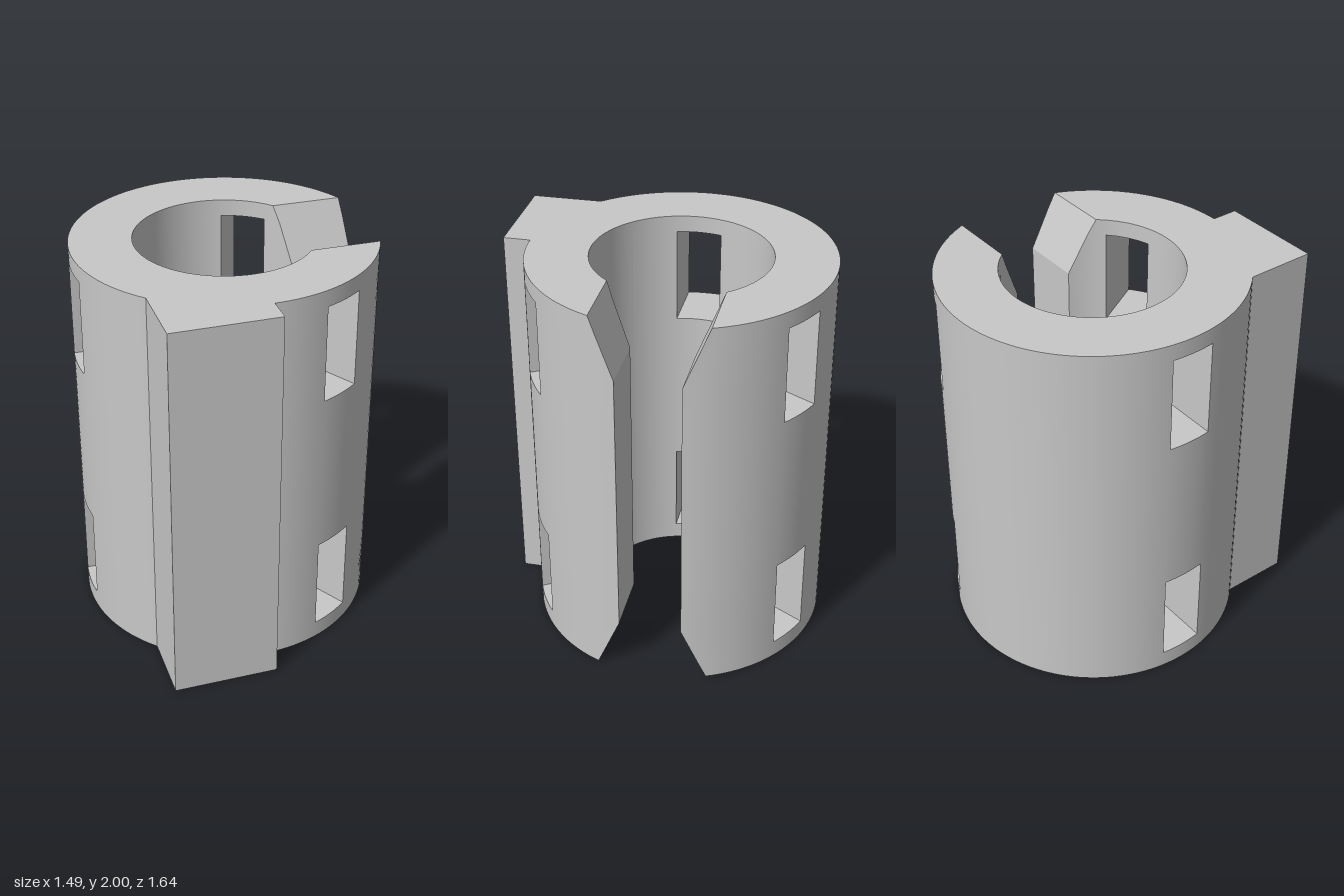
import * as THREE from 'three';
import { toCreasedNormals } from 'three/addons/utils/BufferGeometryUtils.js';

const CX = 0.005, CZ = -0.068;          // ring axis
const R_OUT = 0.753, R_IN = 0.445;
const WINDOW_HALF = 0.1125;
const RIB_LEFT = -0.525, RIB_FRONT = 0.82;
const ROWS = [0, 0.09, 0.3, 0.585, 1.42, 1.7, 1.915, 2];
const TAU = Math.PI * 2;
const lerp = THREE.MathUtils.lerp;

// Half width of the slot, flared towards both ends
const slotHalf = y => 0.157 + 0.123 * Math.max(0, Math.abs(y - 1) - 0.7) / 0.3;

// Angular boundary of a straight, parallel-sided radial cut
const cutEdge = (centre, side, half) => (r, y) => centre + side * Math.asin(half(y) / r);
const windowEdge = (k, side) => cutEdge(k * TAU / 6, side, () => WINDOW_HALF);
const fixed = angle => () => angle;

function ringPoint(r, angle, y) {
  return new THREE.Vector3(CX + r * Math.cos(angle), y, CZ + r * Math.sin(angle));
}

// Sectors around the ring, from one slot face to the other
function makeSectors() {
  const ribEnd = Math.acos((RIB_LEFT - CX) / R_OUT);
  const ribStart = TAU / 4, ribMid = ribEnd - 0.2;
  const ribRoot = [CX, CZ + R_OUT], ribTail = [RIB_LEFT, CZ + R_OUT * Math.sin(ribEnd)];
  const cornerA = [CX, RIB_FRONT], cornerB = [RIB_LEFT, RIB_FRONT];
  const marks = [
    { at: cutEdge(0, 1, slotHalf), n: 12 },
    { at: windowEdge(1, -1), n: 8, window: true },
    { at: windowEdge(1, 1), n: 8 },
    { at: fixed(ribStart), n: 1, rib: [ribRoot, cornerA] },
    { at: fixed(ribStart), n: 14, rib: [cornerA, cornerB] },
    { at: fixed(ribMid), n: 5, rib: [cornerB, ribTail] },
    { at: fixed(ribEnd), n: 12 },
    { at: windowEdge(3, -1), n: 8, window: true },
    { at: windowEdge(3, 1), n: 36 },
    { at: windowEdge(5, -1), n: 8, window: true },
    { at: windowEdge(5, 1), n: 12 },
    { at: cutEdge(TAU, -1, slotHalf) },
  ];
  return marks.slice(0, -1).map((m, i) => ({ ...m, end: marks[i + 1].at }));
}

function sectorPoint(s, t, y, r) {
  if (s.rib && r === R_OUT) {
    const [p, q] = s.rib;
    return new THREE.Vector3(lerp(p[0], q[0], t), y, lerp(p[1], q[1], t));
  }
  return ringPoint(r, lerp(s.at(r, y), s.end(r, y), t), y);
}

function addTriangle(out, a, b, c) {
  const area = b.clone().sub(a).cross(c.clone().sub(a)).length();
  if (area > 1e-8) for (const p of [a, b, c]) out.push(p.x, p.y, p.z);
}

function addQuad(out, a, b, c, d) {
  addTriangle(out, a, b, c);
  addTriangle(out, a, c, d);
}

function toMesh(name, positions, material) {
  const geometry = new THREE.BufferGeometry();
  geometry.setAttribute('position', new THREE.Float32BufferAttribute(positions, 3));
  const mesh = new THREE.Mesh(toCreasedNormals(geometry, 0.3), material);
  mesh.name = name;
  return mesh;
}

export function createModel() {
  const grey = new THREE.MeshStandardMaterial({ color: 0xc8c8c8 });
  grey.name = 'light grey';

  const sectors = makeSectors();
  const ring = [], rib = [];

  // Each window sector is open between 0.09-0.585 and 1.42-1.915
  const isSolid = (i, row) => {
    if (i < 0 || i >= sectors.length || row < 0 || row >= ROWS.length - 1) return false;
    const mid = (ROWS[row] + ROWS[row + 1]) / 2;
    const open = Math.abs(Math.abs(mid - 1) - 0.6675) < 0.2475;
    return !(sectors[i].window && open);
  };

  sectors.forEach((s, i) => {
    const out = s.rib ? rib : ring;
    for (let row = 0; row < ROWS.length - 1; row++) {
      if (!isSolid(i, row)) continue;
      const y0 = ROWS[row], y1 = ROWS[row + 1];
      const O = (t, y) => sectorPoint(s, t, y, R_OUT);
      const I = (t, y) => sectorPoint(s, t, y, R_IN);

      for (let k = 0; k < s.n; k++) {
        const a = k / s.n, b = (k + 1) / s.n;
        // outer and inner skins
        addQuad(out, O(b, y0), O(a, y0), O(a, y1), O(b, y1));
        addQuad(out, I(a, y0), I(b, y0), I(b, y1), I(a, y1));
        // end faces, window sills and window heads
        if (!isSolid(i, row + 1)) addQuad(out, O(b, y1), O(a, y1), I(a, y1), I(b, y1));
        if (!isSolid(i, row - 1)) addQuad(out, O(a, y0), O(b, y0), I(b, y0), I(a, y0));
      }
      // slot faces and window sides
      if (!isSolid(i - 1, row)) addQuad(out, O(0, y0), I(0, y0), I(0, y1), O(0, y1));
      if (!isSolid(i + 1, row)) addQuad(out, I(1, y0), O(1, y0), O(1, y1), I(1, y1));
    }
  });

  const model = new THREE.Group();
  model.name = 'slottedSleeve';
  model.add(toMesh('slottedRing', ring, grey), toMesh('mountingRib', rib, grey));
  return model;
}
